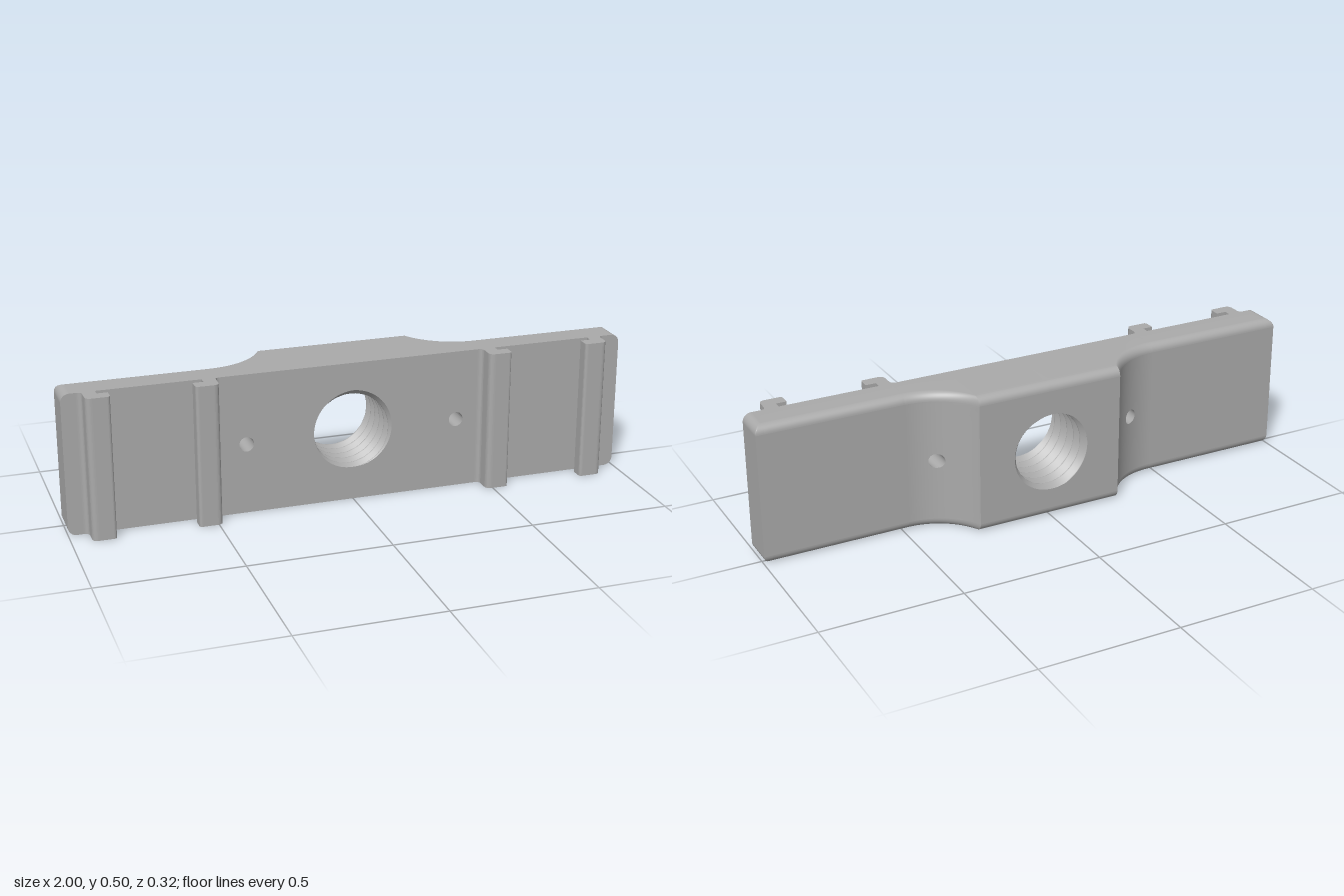
import * as THREE from 'three';

const H = 0.5, MID = 0.25, R = 0.03;          // plate height, centre line, edge rounding
const FRONT = 0.09, WING = -0.03;             // front face and thin back face
const PAD = 0.27, FOOT = 0.48, SWEEP = 0.2346; // raised pad edge, foot and radius of the sweep
const PIN_X = 0.38, PIN_R = 0.026;

// Back surface depth: raised pad, concave sweep, thin wing
function backZ(x) {
  const d = FOOT - Math.min(FOOT, Math.max(PAD, Math.abs(x)));
  return WING - SWEEP + Math.sqrt(SWEEP * SWEEP - d * d);
}

// Half height of the plate, with rounded end corners
function halfHeight(x) {
  const d = Math.min(R, Math.max(0, Math.abs(x) - (1 - R)));
  return MID - R + Math.sqrt(R * R - d * d);
}

// Helical thread radius
function threadRadius(a, z) {
  const p = (z - FRONT) / 0.046 + (a - Math.PI / 2) / (2 * Math.PI);
  return 0.131 + 0.02 * Math.abs(2 * (p - Math.floor(p)) - 1);
}

// Surface over u, v in 0..1, facing du x dv
function grid(nu, nv, fn, flip = false) {
  const pos = [], idx = [];
  for (let j = 0; j <= nv; j++)
    for (let i = 0; i <= nu; i++) pos.push(...fn(i / nu, j / nv));
  for (let j = 0; j < nv; j++)
    for (let i = 0; i < nu; i++) {
      const a = j * (nu + 1) + i, b = a + 1, d = a + nu + 1, c = d + 1;
      if (flip) idx.push(a, c, b, a, d, c);
      else idx.push(a, b, c, a, c, d);
    }
  const g = new THREE.BufferGeometry();
  g.setAttribute('position', new THREE.Float32BufferAttribute(pos, 3));
  g.setIndex(idx);
  g.computeVertexNormals();
  return g;
}

// Back panel from x0 to x1 with a hole at cx, following the back surface
function holedPanel(x0, x1, cx, radius) {
  const h = MID - R;
  return grid(96, 18, (u, v) => {
    const s = Math.min(3, Math.floor(u * 4 + 1e-9)), t = u * 4 - s;
    const ox = [x1, x1 + (x0 - x1) * t, x0, x0 + (x1 - x0) * t][s];
    const oy = [-h + 2 * h * t, h, h - 2 * h * t, -h][s];
    const a = Math.atan2(oy, ox - cx), r = radius(a);
    const x = THREE.MathUtils.lerp(cx + r * Math.cos(a), ox, v);
    const y = THREE.MathUtils.lerp(r * Math.sin(a), oy, v);
    return [x, MID + y, backZ(x)];
  });
}

// Long edge of the plate: flat side and rounded back edge
function edgeStrip(x0, x1, side, end) {
  return grid(24, 11, (u, v) => {
    const t = x0 >= 1 - R ? Math.sin(u * Math.PI / 2) : u;
    const x = x0 + (x1 - x0) * t, k = Math.round(v * 11);
    const a = Math.max(0, k - 1) / 10 * Math.PI / 2;
    const y = Math.min(MID - R + R * Math.cos(a), halfHeight(x));
    const z = k === 0 ? FRONT : backZ(x) + R - R * Math.sin(a);
    return [side * x, MID + end * y, z];
  }, side * end < 0);
}

// Front face with the three holes
function frontFace() {
  const s = new THREE.Shape();
  s.moveTo(-1 + R, 0);
  s.lineTo(1 - R, 0);
  s.absarc(1 - R, R, R, -Math.PI / 2, 0);
  s.absarc(1 - R, H - R, R, 0, Math.PI / 2);
  s.absarc(-1 + R, H - R, R, Math.PI / 2, Math.PI);
  s.absarc(-1 + R, R, R, Math.PI, Math.PI * 1.5);
  const rim = [];
  for (let i = 0; i < 96; i++) {
    const a = i / 96 * Math.PI * 2, r = threadRadius(a, FRONT);
    rim.push(new THREE.Vector2(r * Math.cos(a), MID + r * Math.sin(a)));
  }
  s.holes.push(new THREE.Path(rim));
  for (const side of [-1, 1])
    s.holes.push(new THREE.Path().absarc(side * PIN_X, MID, PIN_R, 0, Math.PI * 2, true));
  return new THREE.ShapeGeometry(s, 16).translate(0, 0, FRONT);
}

// Hooked rail: neck at x, lip pointing along dir
function railGeometry(x, dir) {
  const s = new THREE.Shape(), X = (d) => x + dir * d;
  s.moveTo(X(-0.018), FRONT);
  s.quadraticCurveTo(X(0), FRONT, X(0), 0.108);
  s.lineTo(X(0), 0.138);
  s.quadraticCurveTo(X(0), 0.16, X(0.022), 0.16);
  s.lineTo(X(0.07), 0.16);
  s.quadraticCurveTo(X(0.082), 0.16, X(0.082), 0.148);
  s.lineTo(X(0.082), 0.116);
  s.lineTo(X(0.045), 0.116);
  s.lineTo(X(0.045), FRONT);
  const g = new THREE.ExtrudeGeometry(s, { depth: H, bevelEnabled: false, curveSegments: 8 });
  return g.rotateX(Math.PI / 2).translate(0, H, 0);
}

export function createModel() {
  const model = new THREE.Group();
  model.name = 'threadedMountingPlate';
  const grey = new THREE.MeshStandardMaterial({ color: 0xaaaaaa, side: THREE.DoubleSide });
  grey.name = 'grey';
  const add = (name, geometry) => {
    const m = new THREE.Mesh(geometry, grey);
    m.name = name;
    model.add(m);
  };

  // Front face, raised pad and threaded bore
  add('frontFace', frontFace());
  add('backPad', holedPanel(-PAD, PAD, 0, (a) => threadRadius(a, backZ(0))));
  add('threadedBore', grid(96, 110, (u, v) => {
    const a = u * Math.PI * 2, z = THREE.MathUtils.lerp(FRONT, backZ(0), v);
    const r = threadRadius(a, z);
    return [r * Math.cos(a), MID + r * Math.sin(a), z];
  }));

  for (const side of [-1, 1]) {
    const label = side > 0 ? 'left' : 'right';
    // Sweep with pin hole
    const xs = [side * PAD, side * FOOT].sort((a, b) => a - b);
    add(label + 'Sweep', holedPanel(xs[0], xs[1], side * PIN_X, () => PIN_R));
    add(label + 'PinHole', grid(32, 1, (u, v) => {
      const a = u * Math.PI * 2, x = side * PIN_X + PIN_R * Math.cos(a);
      return [x, MID + PIN_R * Math.sin(a), v ? backZ(x) : FRONT];
    }));
    // Wing back and end cap
    add(label + 'WingBack', grid(1, 1, (u, v) =>
      [side * (FOOT + (1 - FOOT) * v), R + (H - 2 * R) * u, WING], side < 0));
    add(label + 'EndCap', grid(1, 1, (u, v) =>
      [side, R + (H - 2 * R) * u, WING + (FRONT - WING) * v], side < 0));
    // Top and bottom edges
    const stops = [0, PAD, FOOT, 1 - R, 1];
    for (const end of [-1, 1])
      for (let i = 0; i < 4; i++)
        add(label + (end > 0 ? 'TopEdge' : 'BottomEdge'), edgeStrip(stops[i], stops[i + 1], side, end));
  }

  // Two pairs of facing rails
  for (const [x, dir] of [[-0.93, 1], [-0.485, -1], [0.475, 1], [0.92, -1]])
    add('hookRail', railGeometry(x, dir));

  return model;
}
